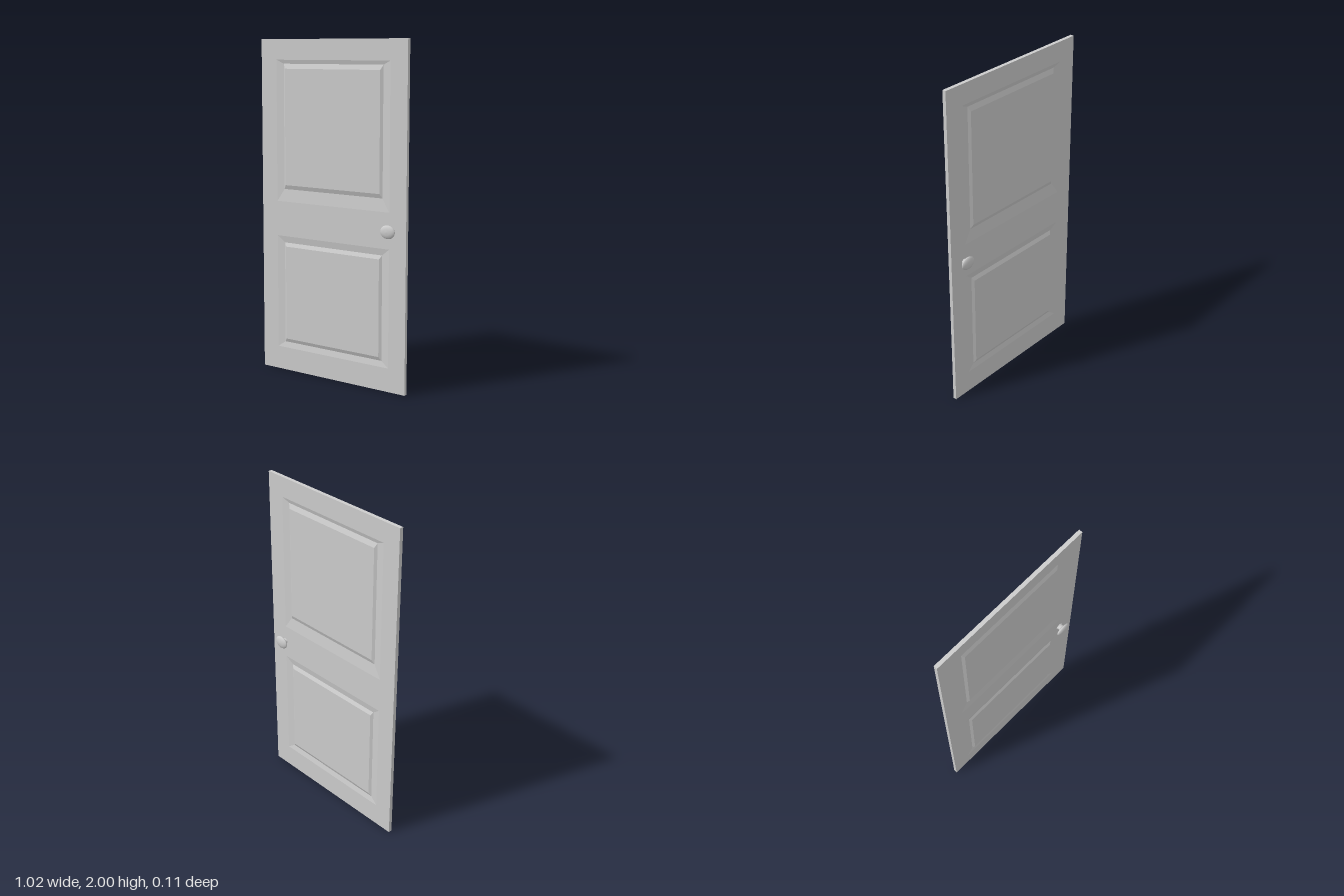
import * as THREE from 'three';

const HALF = 0.011;   // half thickness of the slab
const MID = -0.002;   // depth of the slab's centre plane

// Nested rectangles for a raised panel: [half width, bottom, top, depth]
const PANELS = {
  upperPanel: [
    [0.40, 1.04, 1.88, HALF],
    [0.35, 1.115, 1.857, 0.004],
    [0.335, 1.14, 1.828, 0.014],
  ],
  lowerPanel: [
    [0.40, 0.14, 0.83, HALF],
    [0.35, 0.175, 0.79, 0.004],
    [0.335, 0.197, 0.767, 0.014],
  ],
};

const corners = ([w, b, t, z]) => [[-w, b, z], [w, b, z], [w, t, z], [-w, t, z]];

// Sloped bands between successive rectangles, closed by the flat centre
function panelGeometry(rings) {
  const pos = [];
  const quad = (a, b, c, d) => pos.push(...a, ...b, ...c, ...a, ...c, ...d);
  for (let k = 0; k < rings.length - 1; k++) {
    const outer = corners(rings[k]);
    const inner = corners(rings[k + 1]);
    for (let i = 0; i < 4; i++) {
      const j = (i + 1) % 4;
      quad(outer[i], outer[j], inner[j], inner[i]);
    }
  }
  quad(...corners(rings[rings.length - 1]));
  const geo = new THREE.BufferGeometry();
  geo.setAttribute('position', new THREE.Float32BufferAttribute(pos, 3));
  geo.computeVertexNormals();
  return geo;
}

function rectPath(path, [w, b, t]) {
  path.moveTo(-w, b);
  path.lineTo(w, b);
  path.lineTo(w, t);
  path.lineTo(-w, t);
  path.closePath();
  return path;
}

export function createModel() {
  const model = new THREE.Group();
  model.name = 'door';
  const paint = new THREE.MeshStandardMaterial({ color: 0xcccccc });
  paint.name = 'light grey';

  const add = (parent, geo, name) => {
    const mesh = new THREE.Mesh(geo, paint);
    mesh.name = name;
    parent.add(mesh);
    return mesh;
  };

  // Frame with an opening for each panel
  const outline = rectPath(new THREE.Shape(), [0.512, 0, 2]);
  for (const rings of Object.values(PANELS)) {
    outline.holes.push(rectPath(new THREE.Path(), rings[0]));
  }
  const frame = new THREE.ExtrudeGeometry(outline, { depth: HALF * 2, bevelEnabled: false });
  add(model, frame.translate(0, 0, MID - HALF), 'frame');

  // Oval knob on a flared stem, turned around its axis
  const profile = [
    [0.024, 0.006], [0.021, 0.013], [0.018, 0.018], [0.018, 0.024], [0.022, 0.029],
    [0.036, 0.033], [0.046, 0.037], [0.048, 0.041], [0.046, 0.045],
    [0.036, 0.051], [0.020, 0.055], [0, 0.056],
  ].map(([r, h]) => new THREE.Vector2(r, h));
  const knob = new THREE.LatheGeometry(profile, 32).rotateX(Math.PI / 2).scale(1, 0.81, 1);

  // Both faces carry the same panels and a knob
  for (const side of ['front', 'back']) {
    const back = side === 'back';
    const face = new THREE.Group();
    face.name = side + 'Face';
    face.rotation.y = back ? Math.PI : 0;
    model.add(face);
    for (const [name, rings] of Object.entries(PANELS)) {
      add(face, panelGeometry(rings), name).position.z = back ? -MID : MID;
    }
    add(face, knob, 'knob').position.set(back ? -0.41 : 0.41, 0.935, 0);
  }
  return model;
}
